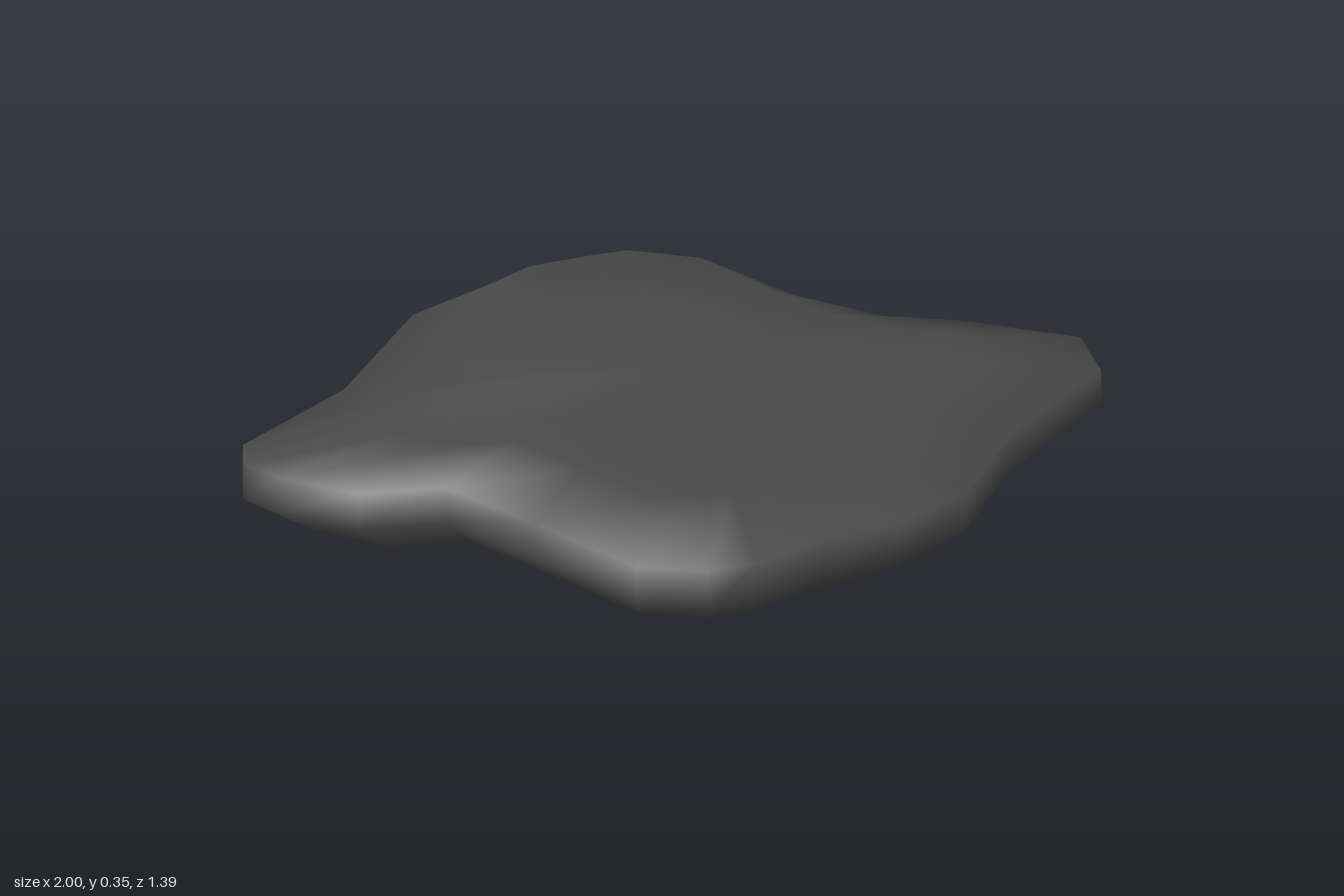
import * as THREE from 'three';

// Outline of the slab seen from above (x, z), counter-clockwise from the -x tip
const outline = [
  [-1, 0.02], [-1, 0.1], [-0.93, 0.17], [-0.76, 0.27], [-0.57, 0.275], [-0.39, 0.46], [-0.21, 0.65],
  [-0.06, 0.69], [0.04, 0.685], [0.19, 0.625], [0.38, 0.585], [0.54, 0.505], [0.7, 0.29],
  [1, 0.04], [1, -0.12], [0.74, -0.25], [0.56, -0.305], [0.39, -0.42], [0.19, -0.63],
  [0.04, -0.675], [-0.06, -0.7], [-0.21, -0.66], [-0.41, -0.595], [-0.57, -0.515],
  [-0.76, -0.185], [-0.93, -0.04],
];

// Piecewise linear ramp through [input, output] stops
function ramp(stops, t) {
  if (t <= stops[0][0]) return stops[0][1];
  for (let i = 1; i < stops.length; i++) {
    const [a, va] = stops[i - 1], [b, vb] = stops[i];
    if (t <= b) return va + (vb - va) * (t - a) / (b - a);
  }
  return stops[stops.length - 1][1];
}

// Flat front half, with a hump rising towards the back and -x
function topHeight(x, z) {
  const back = ramp([[-0.41, 0.11], [-0.04, 0.065], [0.1, 0]], z);
  const side = ramp([[-0.8, 0], [-0.35, 1], [0.25, 0.6], [0.5, 0]], x);
  return 0.24 + back * side;
}

function slabGeometry() {
  // Rings from the open underside up over the rim: [scale, height]; null follows the hump
  const rings = [[0.69, 0], [0.91, 0.03], [1, 0.1], [0.99, 0.19], [0.7, null], [0.35, null]];
  const n = outline.length, positions = [], index = [];
  for (const [s, h] of rings) {
    for (const [ox, oz] of outline) {
      const x = ox * s, z = oz * s;
      positions.push(x, h ?? topHeight(x, z), z);
    }
  }
  positions.push(0, topHeight(0, 0), 0);
  for (let r = 0; r < rings.length; r++) {
    for (let i = 0; i < n; i++) {
      const a = r * n + i, b = r * n + (i + 1) % n;
      if (r === rings.length - 1) index.push(a, b, rings.length * n);
      else index.push(a, b, b + n, a, b + n, a + n);
    }
  }
  const geometry = new THREE.BufferGeometry();
  geometry.setAttribute('position', new THREE.Float32BufferAttribute(positions, 3));
  geometry.setIndex(index);
  geometry.computeVertexNormals();
  return geometry;
}

export function createModel() {
  const stone = new THREE.MeshStandardMaterial({ color: 0x484848, side: THREE.DoubleSide });
  stone.name = 'darkStone';

  const slab = new THREE.Mesh(slabGeometry(), stone);
  slab.name = 'rockSlab';

  const model = new THREE.Group();
  model.name = 'flatRock';
  model.add(slab);
  return model;
}
